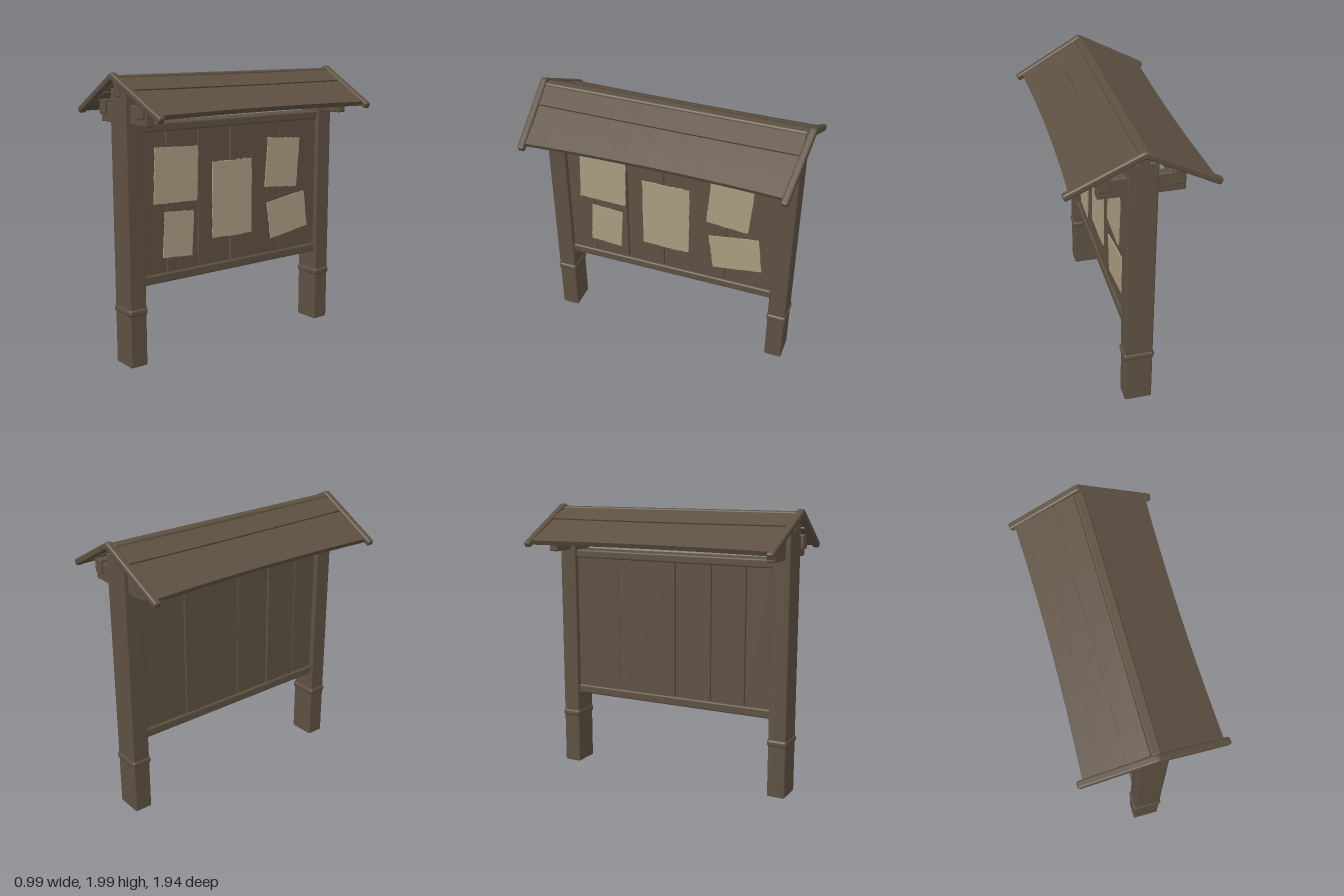
import * as THREE from 'three';
import { RoundedBoxGeometry } from 'three/addons/geometries/RoundedBoxGeometry.js';

const wood = new THREE.MeshStandardMaterial({ color: 0x5d5041 });
wood.name = 'weatheredWood';
const paper = new THREE.MeshStandardMaterial({ color: 0xab9b80 });
paper.name = 'agedPaper';

// Small seeded generator for worn edges
let seed = 7;
const rand = () => (seed = (seed * 16807) % 2147483647) / 2147483647;

export function createModel() {
  const model = new THREE.Group();
  model.name = 'noticeBoard';

  const add = (name, geometry, material, x = 0, y = 0, z = 0) => {
    const mesh = new THREE.Mesh(geometry, material);
    mesh.name = name;
    mesh.position.set(x, y, z);
    model.add(mesh);
    return mesh;
  };
  // Softly rounded timber given by its extents
  const timber = (name, x0, x1, y0, y1, z0, z1, r = 0.008) =>
    add(name, new RoundedBoxGeometry(x1 - x0, y1 - y0, z1 - z0, 2, r), wood,
      (x0 + x1) / 2, (y0 + y1) / 2, (z0 + z1) / 2);
  // Timber running from point a to point b
  const beam = (name, a, b, w, h, r = 0.01) => {
    const p = new THREE.Vector3(...a), q = new THREE.Vector3(...b);
    const mesh = add(name, new RoundedBoxGeometry(w, h, p.distanceTo(q), 2, r), wood);
    mesh.position.copy(p).lerp(q, 0.5);
    mesh.lookAt(q);
    return mesh;
  };

  // Posts with a worn collar, and the cross beams carrying the roof
  for (const s of [1, -1]) {
    const z = 0.85 * s;
    timber('post', -0.097, 0.097, 0, 1.89, z - 0.065, z + 0.065, 0.01);
    timber('postCollar', -0.107, 0.107, 0.365, 0.415, z - 0.073, z + 0.073, 0.018);
    timber('crossBeam', -0.28, 0.28, 1.66, 1.79, z - 0.035, z + 0.03);
  }

  // Board of vertical planks, one joint standing open
  const joints = [0.79, 0.59, 0.325, 0.04, -0.43, -0.79];
  for (let i = 0; i < 5; i++) {
    const gap = i === 1 || i === 2 ? 0.004 : 0.0015;
    const face = 0.06 + (i % 2) * 0.004;
    timber('boardPlank', -face, face, 0.59, 1.63, joints[i + 1] + gap, joints[i] - gap, 0.005);
  }
  timber('topRail', -0.078, 0.078, 1.6, 1.66, -0.79, 0.79, 0.012);
  timber('bottomRail', -0.078, 0.078, 0.555, 0.62, -0.79, 0.79, 0.012);

  // Notices with ragged edges: z, y, width, height, tilt in degrees
  const notices = [
    [0.51, 1.297, 0.36, 0.39, -2],
    [0.495, 0.88, 0.245, 0.325, -4],
    [0.025, 1.08, 0.36, 0.56, 0],
    [-0.45, 1.295, 0.315, 0.375, -4.5],
    [-0.505, 0.89, 0.375, 0.285, 8],
  ];
  for (const [z, y, w, h, tilt] of notices) {
    const corners = [[-1, -1], [1, -1], [1, 1], [-1, 1]];
    const outline = [];
    corners.forEach(([ax, ay], i) => {
      const [bx, by] = corners[(i + 1) % 4];
      for (let k = 0; k < 12; k++) {
        const t = k / 12, worn = 1 - rand() * 0.03;
        outline.push(new THREE.Vector2(
          (ax + (bx - ax) * t) * w / 2 * worn, (ay + (by - ay) * t) * h / 2 * worn));
      }
    });
    const sheet = new THREE.ExtrudeGeometry(new THREE.Shape(outline), { depth: 0.009, bevelEnabled: false });
    sheet.rotateZ(THREE.MathUtils.degToRad(tilt)).rotateY(Math.PI / 2);
    add('notice', sheet, paper, 0.0635, y, z);
  }

  // Ridge beam and purlins
  timber('ridgeBeam', -0.036, 0.036, 1.84, 1.935, -0.925, 0.925);
  for (const s of [1, -1]) {
    timber('purlin', s * 0.235 - 0.038, s * 0.235 + 0.038, 1.71, 1.81, -0.9, 0.9);
  }

  // Roof planks, the eaves bowing inwards at mid length
  const slope = Math.atan(0.52);
  for (const s of [1, -1]) {
    for (let i = 0; i < 3; i++) {
      const x0 = 0.03 + i * 0.14, x1 = x0 + 0.14, xm = (x0 + x1) / 2;
      const width = 0.14 / Math.cos(slope) - 0.002;
      const geo = new THREE.BoxGeometry(width, 0.034, 1.83, 1, 1, 10);
      const p = geo.attributes.position;
      for (let k = 0; k < p.count; k++) {
        const bow = 1 - (p.getZ(k) / 0.915) ** 2;
        if (i === 2 && p.getX(k) * s > 0) p.setX(k, p.getX(k) - s * 0.022 * bow);
        p.setY(k, p.getY(k) - 0.004 * bow);
      }
      geo.computeVertexNormals();
      const plank = add('roofPlank', geo, wood, s * xm, 1.966 - 0.52 * xm - (i % 2) * 0.005, 0);
      plank.rotation.z = -s * (slope - 0.02);
    }
  }
  // Ridge cap filling the gap between the upper planks
  timber('ridgeCap', -0.034, 0.034, 1.93, 1.978, -0.925, 0.925, 0.015);

  // Barge boards closing both gables
  for (const [zTop, zRight, zLeft] of [[0.945, 0.895, 0.92], [-0.95, -0.905, -0.93]]) {
    beam('bargeBoard', [-0.012, 1.979, zTop], [0.49, 1.718, zRight], 0.05, 0.046, 0.014);
    beam('bargeBoard', [0.012, 1.979, zTop], [-0.49, 1.718, zLeft], 0.05, 0.046, 0.014);
  }

  return model;
}
